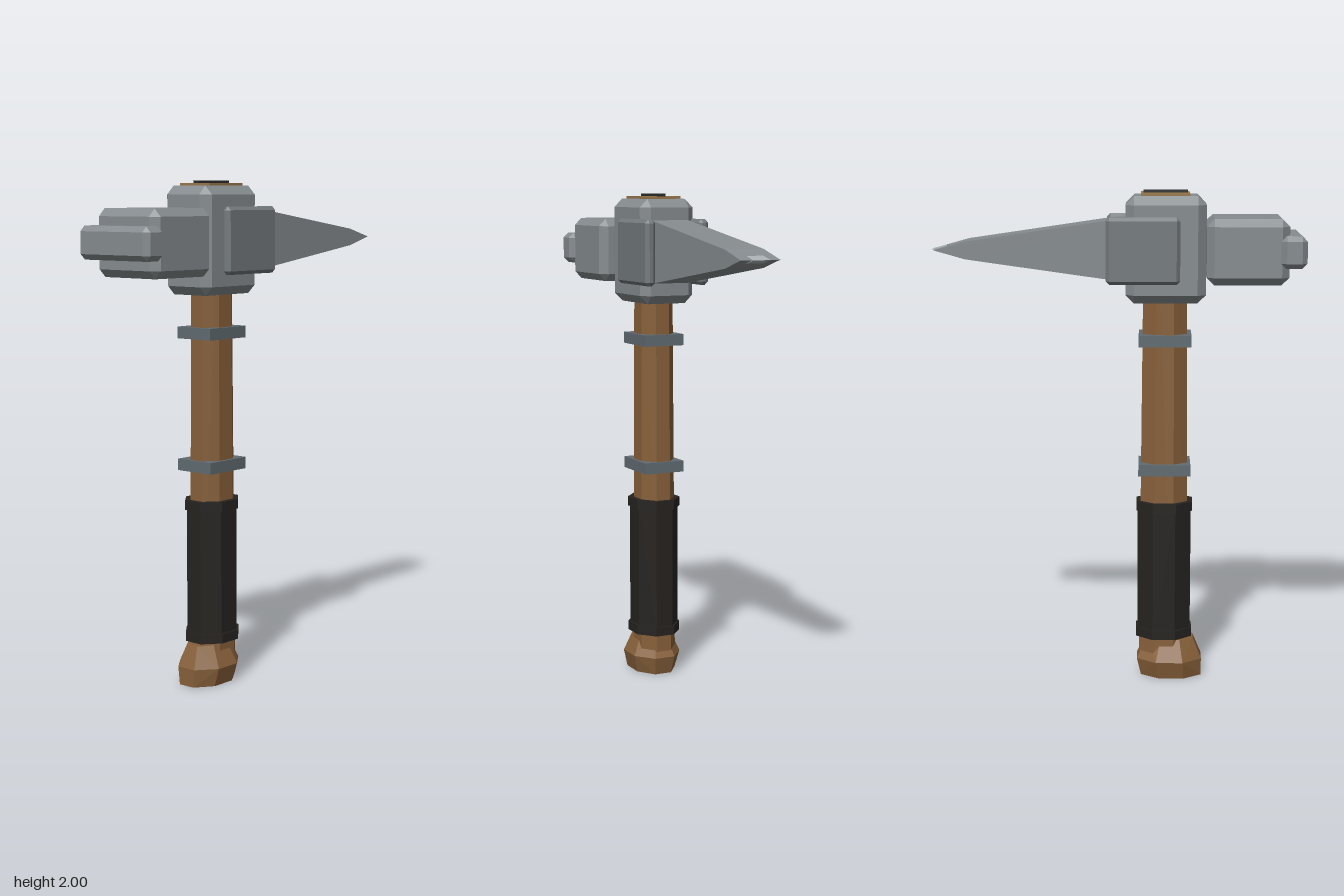
import * as THREE from 'three';
import { ConvexGeometry } from 'three/addons/geometries/ConvexGeometry.js';

const material = (color) => new THREE.MeshStandardMaterial({ color, flatShading: true });

// Box given by its extents, with every edge cut at 45 degrees
function chamferedBox([x0, x1], [y0, y1], [z0, z1], bevel) {
  const center = new THREE.Vector3((x0 + x1) / 2, (y0 + y1) / 2, (z0 + z1) / 2);
  const half = [(x1 - x0) / 2, (y1 - y0) / 2, (z1 - z0) / 2];
  const points = [];
  for (const sx of [-1, 1]) for (const sy of [-1, 1]) for (const sz of [-1, 1]) {
    for (let full = 0; full < 3; full++) {
      const h = half.map((v, i) => (i === full ? v : v - bevel));
      points.push(new THREE.Vector3(sx * h[0], sy * h[1], sz * h[2]).add(center));
    }
  }
  return new ConvexGeometry(points);
}

function plainBox([x0, x1], [y0, y1], [z0, z1]) {
  return new THREE.BoxGeometry(x1 - x0, y1 - y0, z1 - z0)
    .translate((x0 + x1) / 2, (y0 + y1) / 2, (z0 + z1) / 2);
}

// Eight-sided solid through rings of [y, half width, half depth, centre z]
function octagonSolid(rings) {
  const points = [];
  for (const [y, hx, hz, cz] of rings) {
    for (let i = 0; i < 8; i++) {
      const a = (i + 0.5) * Math.PI / 4;
      const k = 1 / Math.cos(Math.PI / 8);
      points.push(new THREE.Vector3(hx * k * Math.cos(a), y, cz + hz * k * Math.sin(a)));
    }
  }
  return new ConvexGeometry(points);
}

// Side profile of [z, y] points, extruded evenly across x
function sideExtrusion(profile, halfWidth) {
  const shape = new THREE.Shape(profile.map(([z, y]) => new THREE.Vector2(-z, y)));
  return new THREE.ExtrudeGeometry(shape, { depth: 2 * halfWidth, bevelEnabled: false })
    .translate(0, 0, -halfWidth)
    .rotateY(Math.PI / 2);
}

export function createModel() {
  const group = new THREE.Group();
  const steel = material(0x858b8e);
  const plateSteel = material(0x73797c);
  const brightSteel = material(0xabb0b2);
  const bandSteel = material(0x606b71);
  const wood = material(0x87603a);
  const paleWood = material(0x98774a);
  const leather = material(0x262320);
  const dark = material(0x2b2b2b);

  const add = (name, geometry, mat) => {
    const mesh = new THREE.Mesh(geometry, mat);
    mesh.name = name;
    group.add(mesh);
  };
  const sym = (h) => [-h, h];
  const shaftZ = 0.187;

  // Handle
  add('shaft', octagonSolid([[0.1, 0.078, 0.1, shaftZ], [1.97, 0.068, 0.084, shaftZ]]), wood);
  add('pommel', octagonSolid([
    [0, 0.087, 0.124, 0.22],
    [0.073, 0.105, 0.133, 0.212],
    [0.16, 0.067, 0.095, 0.215],
  ]), wood);
  add('grip', octagonSolid([[0.18, 0.089, 0.108, 0.189], [0.735, 0.089, 0.108, 0.189]]), leather);
  for (const y of [0.17, 0.706]) {
    add('gripRing', octagonSolid([[y, 0.097, 0.114, 0.189], [y + 0.038, 0.097, 0.114, 0.189]]), leather);
  }
  for (const y of [0.86, 1.386]) {
    add('shaftBand', plainBox(sym(0.087), [y, y + 0.046], [0.083, 0.293]), bandSteel);
  }

  // Head
  add('headBlock', chamferedBox(sym(0.117), [1.56, 1.98], [0.03, 0.348], 0.034), steel);
  add('hammerBlock', chamferedBox(sym(0.16), [1.638, 1.896], [0.348, 0.67], 0.03), steel);
  add('strikingFace', chamferedBox(sym(0.182), [1.705, 1.832], [0.635, 0.737], 0.021), steel);
  for (const [name, s] of [['leftCheekPlate', 1], ['rightCheekPlate', -1]]) {
    const xs = [s * 0.095, s * 0.139].sort((a, b) => a - b);
    add(name, chamferedBox(xs, [1.638, 1.9], [-0.047, 0.245], 0.014), plateSteel);
  }

  // Tapering pick and its tip
  add('pick', sideExtrusion([
    [0.08, 1.903], [0.08, 1.637], [-0.6, 1.732], [-0.725, 1.767], [-0.6, 1.802],
  ], 0.081), steel);
  add('pickTip', sideExtrusion([[-0.68, 1.753], [-0.737, 1.767], [-0.68, 1.781]], 0.035), brightSteel);

  // Handle end showing through the head, split by a wedge
  add('handleEnd', plainBox(sym(0.077), [1.95, 1.99], [0.09, 0.283]), paleWood);
  add('wedge', plainBox(sym(0.015), [1.95, 2], [0.1, 0.275]), dark);

  return group;
}
